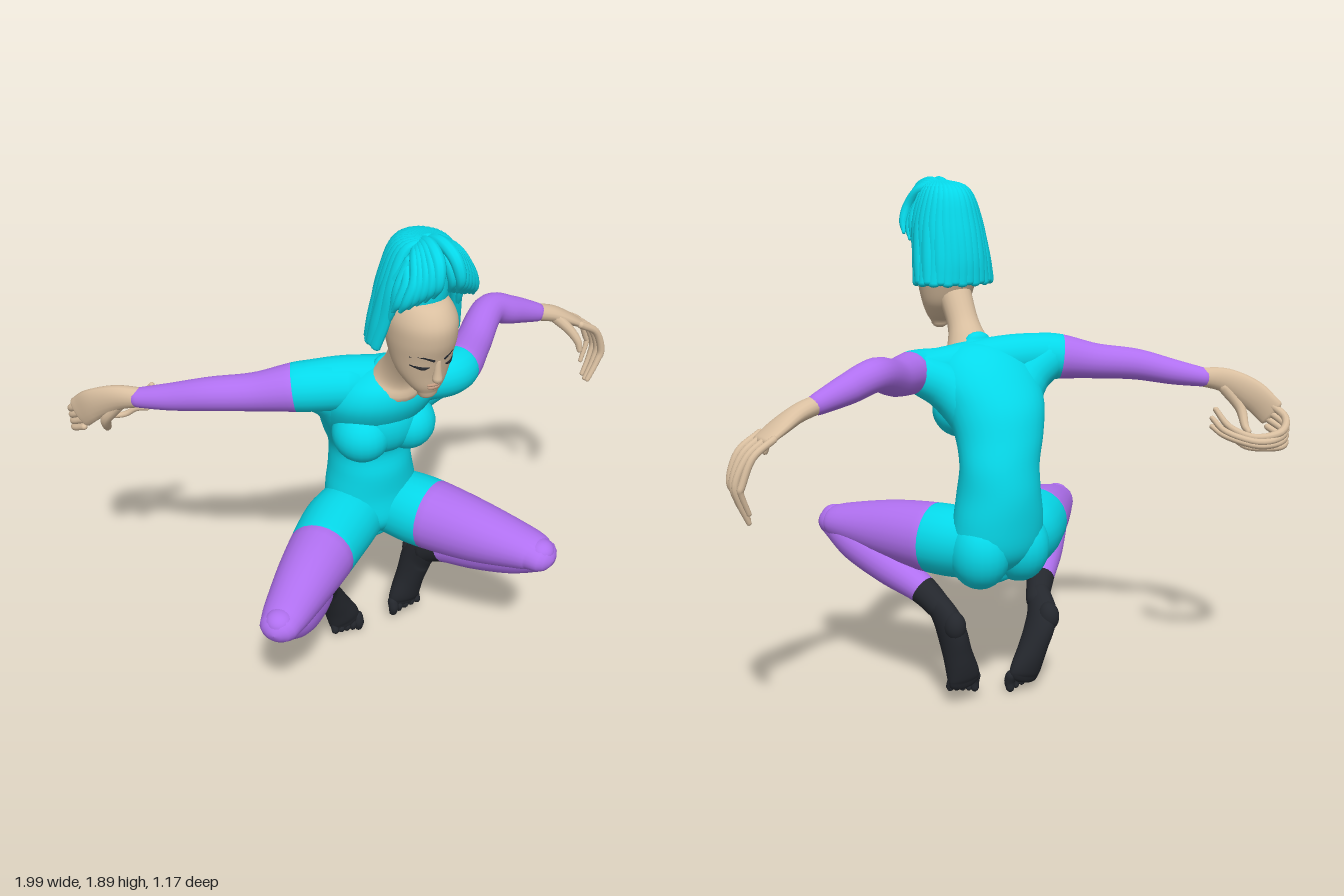
import * as THREE from 'three';

const mat = (color) => new THREE.MeshStandardMaterial({ color, roughness: 0.8 });
const TEAL = mat(0x06d9ea), PURPLE = mat(0xb070f0), SKIN = mat(0xd9bfa0), BLACK = mat(0x24272d), LIP = mat(0xc09a80);
const X = [1, 0, 0], Y = [0, 1, 0], Z = [0, 0, 1], CX = -0.08;

export function createModel() {
  const model = new THREE.Group();
  const add = (name, geo, material) => {
    const m = new THREE.Mesh(geo, material);
    m.name = name;
    model.add(m);
    return m;
  };

  // Smooth round-ended sweep through points [x, y, z, sideRadius, refRadius];
  // u0..u1 picks a stretch of it, level keeps its sections horizontal
  function limb(name, material, pts, ref, sides = 20, u0 = 0, u1 = 1, level = false) {
    const curve = (f) => new THREE.CatmullRomCurve3(pts.map(f), false, 'catmullrom', 0.5);
    const path = curve((p) => new THREE.Vector3(p[0], p[1], p[2]));
    const radii = curve((p) => new THREE.Vector3(p[3], p[4] ?? p[3], 0));
    const rv = new THREE.Vector3(...ref), rings = [], steps = (pts.length - 1) * 5;
    const ring = (u, angle) => {
      const t = level ? new THREE.Vector3(...Y) : path.getTangent(u), r = radii.getPoint(u);
      const c = path.getPoint(u).addScaledVector(t, Math.sin(angle) * Math.min(r.x, r.y));
      rings.push({ c, t, r: r.multiplyScalar(Math.cos(angle)) });
    };
    for (const a of [-1.55, -1.2, -0.8, -0.4]) ring(u0, a);
    for (let i = 0; i <= steps; i++) ring(u0 + ((u1 - u0) * i) / steps, 0);
    for (const a of [0.4, 0.8, 1.2, 1.55]) ring(u1, a);
    const pos = [], idx = [];
    rings.forEach(({ c, t, r }, i) => {
      const s = t.clone().cross(rv).normalize(), n = s.clone().cross(t);
      for (let j = 0; j < sides; j++) {
        const a = (j / sides) * Math.PI * 2;
        const p = c.clone().addScaledVector(s, Math.cos(a) * r.x).addScaledVector(n, Math.sin(a) * r.y);
        pos.push(p.x, p.y, p.z);
        if (i === rings.length - 1) continue;
        const k = i * sides, l = (j + 1) % sides;
        idx.push(k + j, k + sides + j, k + l, k + sides + j, k + sides + l, k + l);
      }
    });
    const geo = new THREE.BufferGeometry();
    geo.setAttribute('position', new THREE.Float32BufferAttribute(pos, 3));
    geo.setIndex(idx);
    geo.computeVertexNormals();
    return add(name, geo, material);
  }
  const ball = (name, material, x, y, z, rx, ry = rx, rz = rx) => {
    const m = add(name, new THREE.SphereGeometry(1, 24, 16), material);
    m.position.set(x, y, z);
    m.scale.set(rx, ry, rz);
    return m;
  };

  // Torso
  limb('torso', TEAL, [
    [-0.03, 0.5, -0.05, 0.1, 0.05], [-0.03, 0.54, -0.05, 0.14, 0.105], [-0.03, 0.6, -0.05, 0.175, 0.14],
    [-0.033, 0.7, -0.06, 0.172, 0.142], [-0.035, 0.8, -0.06, 0.155, 0.143], [-0.04, 0.9, -0.057, 0.15, 0.13],
    [-0.065, 1.0, -0.015, 0.166, 0.147], [-0.08, 1.1, 0.045, 0.19, 0.172], [-0.08, 1.19, 0.1, 0.2, 0.165],
    [-0.078, 1.26, 0.13, 0.165, 0.13], [-0.075, 1.3, 0.14, 0.1, 0.08], [-0.075, 1.315, 0.145, 0.05, 0.03]], Z, 32, 0, 1, true);
  limb('shoulders', TEAL, [[-0.33, 1.253, 0.05, 0.08], [-0.2, 1.25, 0.085, 0.084], [-0.07, 1.235, 0.125, 0.085],
    [0.06, 1.22, 0.155, 0.08], [0.18, 1.215, 0.155, 0.075]], Y);
  limb('rightFlank', TEAL, [[-0.31, 1.24, 0.045, 0.08], [-0.23, 1.18, 0.05, 0.085], [-0.165, 1.08, 0.03, 0.09],
    [-0.12, 0.96, -0.02, 0.08]], Z);
  limb('leftFlank', TEAL, [[0.16, 1.21, 0.14, 0.075], [0.08, 1.16, 0.1, 0.085], [0.015, 1.07, 0.04, 0.09],
    [-0.005, 0.96, -0.02, 0.08]], Z);
  for (const x of [-0.175, 0.0]) ball('breast', TEAL, x, 1.065, 0.145, 0.1, 0.1, 0.106);
  ball('sternum', TEAL, -0.087, 1.1, 0.145, 0.13, 0.125, 0.1);
  for (const x of [-0.115, 0.055]) ball('buttock', TEAL, x, 0.585, -0.07, 0.11, 0.135, 0.12);

  // Arms: teal shoulder, purple sleeve
  const arms = {
    right: [[-0.2, 1.24, 0.1, 0.085], [-0.34, 1.245, 0.045, 0.086], [-0.48, 1.225, -0.03, 0.066],
      [-0.61, 1.212, -0.11, 0.058], [-0.72, 1.185, -0.2, 0.047], [-0.82, 1.165, -0.285, 0.033]],
    left: [[0.05, 1.22, 0.16, 0.076], [0.18, 1.22, 0.16, 0.078], [0.32, 1.23, 0.05, 0.066],
      [0.46, 1.272, -0.065, 0.058], [0.57, 1.24, -0.08, 0.052], [0.7, 1.195, -0.08, 0.034]],
  };
  for (const [side, pts] of Object.entries(arms)) {
    limb(side + 'Shoulder', TEAL, pts, Y, 20, 0, 0.24);
    limb(side + 'Sleeve', PURPLE, pts, Y, 20, 0.24, 0.97);
  }

  // Hands
  limb('rightPalm', SKIN, [[-0.79, 1.17, -0.26, 0.03, 0.034], [-0.865, 1.158, -0.325, 0.028, 0.046],
    [-0.93, 1.11, -0.4, 0.023, 0.056], [-0.965, 1.05, -0.465, 0.016, 0.056]], Y, 16);
  limb('leftPalm', SKIN, [[0.67, 1.205, -0.08, 0.032], [0.75, 1.18, -0.08, 0.03, 0.042],
    [0.82, 1.145, -0.085, 0.024, 0.056], [0.88, 1.11, -0.09, 0.016, 0.06]], Z, 16);
  for (let i = 0; i < 4; i++) {
    const r = 0.0145 - 0.0008 * i, z = -0.035 - 0.035 * i, short = i === 3 ? 0.04 : i === 0 ? 0.015 : 0;
    limb('rightFinger', SKIN, [[-0.96, 1.085 - 0.03 * i, -0.455, r], [-0.978, 1.04 - 0.026 * i, -0.525, r],
      [-0.9, 1.005 - 0.018 * i, -0.58, r], [-0.8, 0.995 - 0.014 * i, -0.57 + short, r * 0.9],
      [-0.715 - short, 1.03 - 0.016 * i, -0.5, r * 0.85], [-0.685 - short, 1.09 - 0.03 * i, -0.455, r * 0.7]], Y, 10);
    limb('leftFinger', SKIN, [[0.865, 1.12, z, r], [0.94, 1.07, z * 1.03, r],
      [0.985 - 0.006 * Math.abs(i - 2), 0.985, z * 1.02, r], [0.982 - 0.008 * (3 - i), 0.92 + short, z, r * 0.85],
      [0.955 - 0.012 * (3 - i), 0.85 + short, z * 0.95, r * 0.7]], Z, 10);
  }
  limb('rightThumb', SKIN, [[-0.86, 1.13, -0.33, 0.024], [-0.9, 1.06, -0.37, 0.02],
    [-0.89, 1.0, -0.41, 0.015], [-0.88, 0.985, -0.44, 0.011]], X, 10);
  limb('leftThumb', SKIN, [[0.76, 1.17, -0.06, 0.023], [0.8, 1.125, -0.025, 0.019],
    [0.825, 1.08, 0.003, 0.015], [0.83, 1.045, 0.013, 0.011]], X, 10);

  // Legs: teal hip, purple thigh and calf, black sock
  const legs = {
    right: {
      thigh: [[-0.1, 0.6, -0.05, 0.125], [-0.22, 0.597, 0.03, 0.133], [-0.4, 0.592, 0.19, 0.114],
        [-0.56, 0.58, 0.335, 0.085, 0.074], [-0.615, 0.575, 0.385, 0.07, 0.056]], split: 0.41,
      shin: [[-0.6, 0.565, 0.37, 0.058], [-0.52, 0.51, 0.3, 0.074], [-0.42, 0.44, 0.19, 0.071],
        [-0.33, 0.375, 0.09, 0.054], [-0.26, 0.32, 0.01, 0.044]],
      foot: [[-0.275, 0.335, 0.02, 0.042, 0.045], [-0.24, 0.265, -0.045, 0.047, 0.068], [-0.19, 0.16, -0.06, 0.054, 0.055],
        [-0.16, 0.09, -0.06, 0.064, 0.042], [-0.15, 0.06, -0.058, 0.064, 0.03]],
      heel: [-0.25, 0.28, -0.075], toes: [-0.15, 0.055, -0.05, -1],
    },
    left: {
      thigh: [[0.04, 0.6, -0.03, 0.125], [0.11, 0.6, 0.1, 0.132], [0.21, 0.602, 0.29, 0.114],
        [0.31, 0.605, 0.465, 0.085, 0.074], [0.335, 0.602, 0.52, 0.07, 0.056]], split: 0.29,
      shin: [[0.335, 0.592, 0.51, 0.058], [0.3, 0.54, 0.4, 0.074], [0.24, 0.475, 0.25, 0.072],
        [0.185, 0.415, 0.12, 0.055], [0.155, 0.36, 0.04, 0.046]],
      foot: [[0.155, 0.37, 0.05, 0.042, 0.048], [0.145, 0.305, -0.01, 0.047, 0.075], [0.125, 0.2, -0.03, 0.054, 0.058],
        [0.105, 0.12, -0.035, 0.064, 0.043], [0.1, 0.09, -0.036, 0.064, 0.03]],
      heel: [0.148, 0.315, -0.05], toes: [0.1, 0.085, -0.03, 1],
    },
  };
  for (const [side, l] of Object.entries(legs)) {
    limb(side + 'Hip', TEAL, l.thigh, Y, 24, 0, l.split);
    limb(side + 'Thigh', PURPLE, l.thigh, Y, 24, l.split, 1);
    limb(side + 'Calf', PURPLE, l.shin, Y, 20, 0, 0.76);
    limb(side + 'Sock', BLACK, l.shin, Y, 20, 0.76, 1);
    limb(side + 'Foot', BLACK, l.foot, Z, 20);
    ball(side + 'Heel', BLACK, ...l.heel, 0.04, 0.055, 0.045);
    const k = l.thigh[4];
    ball(side + 'Kneecap', PURPLE, k[0], k[1] + 0.02, k[2], 0.05, 0.042, 0.05);
    const [x, y, z, s] = l.toes;
    for (let i = 0; i < 5; i++) {
      const tx = x + s * (i - 2) * 0.026, r = i ? 0.015 : 0.02;
      limb(side + 'Toe', BLACK, [[tx, y + 0.01, z, r], [tx, y - 0.015, z + 0.008, r],
        [tx, y - 0.04 + 0.006 * i, z + 0.004, r * 0.8]], Z, 10);
    }
  }

  // Neck and head
  limb('neck', SKIN, [[-0.07, 1.265, 0.19, 0.1, 0.088], [-0.07, 1.31, 0.208, 0.074, 0.07], [-0.075, 1.37, 0.245, 0.058],
    [CX, 1.47, 0.31, 0.062]], Z);
  limb('head', SKIN, [[CX, 1.355, 0.415, 0.036, 0.028], [CX, 1.385, 0.395, 0.062, 0.062], [CX, 1.43, 0.375, 0.086, 0.092],
    [CX, 1.49, 0.367, 0.1, 0.117], [CX, 1.55, 0.365, 0.108, 0.138], [CX, 1.61, 0.365, 0.106, 0.14],
    [CX, 1.66, 0.362, 0.082, 0.11], [CX, 1.68, 0.36, 0.045, 0.06]], Z, 32, 0, 1, true);
  limb('nose', SKIN, [[CX, 1.49, 0.476, 0.01], [CX, 1.45, 0.475, 0.013], [CX, 1.425, 0.474, 0.017]], X, 12);
  ball('upperLip', LIP, CX, 1.396, 0.455, 0.026, 0.007, 0.011);
  ball('lowerLip', LIP, CX, 1.384, 0.451, 0.022, 0.008, 0.011);
  for (const s of [-1, 1]) {
    limb('eyebrow', BLACK, [[CX + s * 0.02, 1.498, 0.483, 0.005], [CX + s * 0.05, 1.512, 0.471, 0.005],
      [CX + s * 0.08, 1.508, 0.44, 0.003]], Y, 8);
    limb('eyelid', BLACK, [[CX + s * 0.026, 1.472, 0.471, 0.003], [CX + s * 0.048, 1.468, 0.463, 0.006],
      [CX + s * 0.075, 1.476, 0.434, 0.004]], Y, 8);
  }

  // Hair: inner cap, bob of hanging locks, parted forward swept fringe, temple strands
  ball('hairCap', TEAL, CX, 1.7, 0.335, 0.1, 0.16, 0.11);
  for (let i = 0; i < 19; i++) {
    const a = ((i - 9) / 9) * 1.75, s = Math.sin(a), c = Math.cos(a), w = 0.006 * (i % 2);
    limb('bobLock', TEAL, [[CX + 0.02 * s, 1.868, 0.41 - 0.02 * c, 0.012, 0.012], [CX + 0.075 * s, 1.838, 0.375 - 0.095 * c, 0.016, 0.02],
      [CX + 0.115 * s, 1.73, 0.365 - 0.128 * c, 0.017, 0.026], [CX + (0.13 + w) * s, 1.61, 0.34 - 0.127 * c, 0.017, 0.027],
      [CX + 0.147 * s, 1.515 + w, 0.318 - 0.11 * c, 0.014, 0.023]], [c, 0, s], 10);
  }
  for (const s of [-1, 1]) for (const d of [0, 1]) for (let i = 0; i < 5; i++) {
    const x = (v) => CX + s * v, y = -0.02 * d, z = -0.045 * d;
    limb('fringeLock', TEAL, [[x(0.01), 1.845, 0.36 + z, 0.018], [x(0.018 + 0.011 * i), 1.87 - 0.007 * i + y, 0.44 + z, 0.02],
      [x(0.028 + 0.015 * i), 1.845 - 0.014 * i + y, 0.51 - 0.006 * i + z, 0.021],
      [x(0.038 + 0.019 * i), 1.785 - 0.014 * i + y, 0.532 - 0.012 * i + z, 0.017],
      [x(0.042 + 0.021 * i), 1.735 - 0.012 * i + y, 0.51 - 0.012 * i + z, 0.007]], X, 10);
  }
  for (const s of [-1, 1]) for (const d of [0, 1]) {
    limb('templeStrand', TEAL, [[CX + s * 0.075, 1.82, 0.42, 0.016], [CX + s * 0.112, 1.74, 0.42 - 0.03 * d, 0.015],
      [CX + s * 0.118, 1.66, 0.4 - 0.03 * d, 0.012], [CX + s * 0.125, 1.59 - 0.03 * d, 0.37 - 0.03 * d, 0.005]], Z, 8);
  }
  return model;
}
